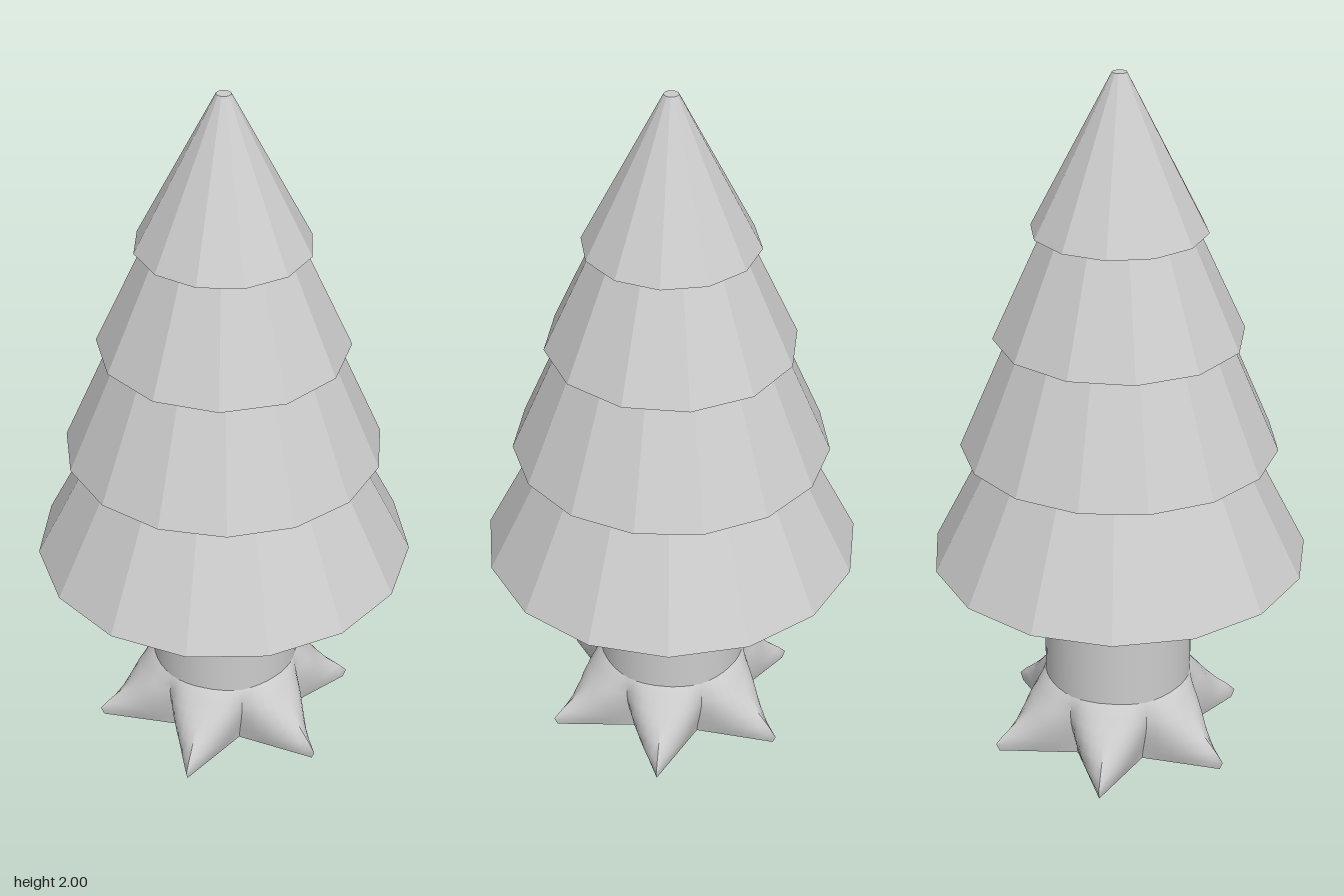
import * as THREE from 'three';
import { toCreasedNormals } from 'three/addons/utils/BufferGeometryUtils.js';

const grey = new THREE.MeshStandardMaterial({ color: 0xcccccc });
const faceted = new THREE.MeshStandardMaterial({ color: 0xcccccc, flatShading: true, side: THREE.DoubleSide });

// one tier of branches: a hollow faceted skirt with a ceiling inside and a closed tip
function makeTier({ name, sides, y0, y1, r0, r1, turn, lid }) {
  const tier = new THREE.Group();
  tier.name = name;
  const h = y1 - y0;
  const skirt = new THREE.Mesh(new THREE.CylinderGeometry(r1, r0, h, sides, 1, true, turn), faceted);
  skirt.name = name + 'Skirt';
  skirt.position.y = (y0 + y1) / 2;
  tier.add(skirt);

  const disc = (part, y, r, down) => {
    const g = new THREE.CircleGeometry(r, sides, turn - Math.PI / 2);
    g.rotateX(-Math.PI / 2);
    const m = new THREE.Mesh(g, faceted);
    m.name = name + part;
    m.position.y = y;
    tier.add(m);
  };
  disc('Top', y1, r1);
  disc('Underside', y0 + lid, r0 + (r1 - r0) * lid / h);
  return tier;
}

// flared base: a six-pointed star that blends upwards into the round trunk
function makeRoots() {
  const points = 6, half = 6, n = points * half * 2;
  // height, radius at ridge, radius at valley, bulge of each root's flank
  const rings = [
    [0, 0.375, 0.19, 0], [0.025, 0.385, 0.195, 0.008], [0.05, 0.362, 0.202, 0.018],
    [0.085, 0.322, 0.212, 0.026], [0.12, 0.288, 0.22, 0.026], [0.15, 0.262, 0.222, 0.022],
    [0.18, 0.238, 0.219, 0.014], [0.205, 0.221, 0.214, 0.008], [0.216, 0.208, 0.206, 0.006],
  ];
  const pos = [0, 0, 0], index = [];
  for (const [y, ridge, valley, bulge] of rings) {
    for (let i = 0; i < n; i++) {
      const step = i % (2 * half);
      const t = (step <= half ? step : 2 * half - step) / half;
      // straight flank from ridge to valley, swollen in the middle
      const x = ridge * (1 - t) + valley * t * Math.cos(Math.PI / points);
      const w = valley * t * Math.sin(Math.PI / points);
      const r = Math.hypot(x, w) + bulge * Math.sin(Math.PI * t);
      const a = Math.floor(i / (2 * half)) * Math.PI * 2 / points
        + (step <= half ? Math.atan2(w, x) : Math.PI * 2 / points - Math.atan2(w, x));
      pos.push(r * Math.cos(a), y, r * Math.sin(a));
    }
  }
  pos.push(0, 0.216, 0);
  const last = rings.length - 1, top = 1 + rings.length * n;
  for (let i = 0; i < n; i++) {
    const j = (i + 1) % n;
    index.push(0, 1 + i, 1 + j);
    for (let k = 0; k < last; k++) {
      const a = 1 + k * n + i, b = 1 + k * n + j;
      index.push(a, a + n, b, b, a + n, b + n);
    }
    index.push(top, 1 + last * n + j, 1 + last * n + i);
  }
  const g = new THREE.BufferGeometry();
  g.setAttribute('position', new THREE.Float32BufferAttribute(pos, 3));
  g.setIndex(index);
  const roots = new THREE.Mesh(toCreasedNormals(g, 0.7), grey);
  roots.name = 'roots';
  return roots;
}

export function createModel() {
  const tree = new THREE.Group();
  tree.name = 'tree';

  // trunk
  const trunk = new THREE.Mesh(new THREE.CylinderGeometry(0.213, 0.213, 0.6, 48), grey);
  trunk.name = 'trunk';
  trunk.position.y = 0.5;
  tree.add(trunk, makeRoots());

  // four stacked tiers, from the widest to the tip
  const tiers = [
    { name: 'bottomTier', sides: 15, y0: 0.61, y1: 1.1, r0: 0.533, r1: 0.285, turn: Math.PI, lid: 0.16 },
    { name: 'lowerTier', sides: 15, y0: 0.95, y1: 1.42, r0: 0.443, r1: 0.24, turn: 0, lid: 0.12 },
    { name: 'upperTier', sides: 12, y0: 1.275, y1: 1.68, r0: 0.346, r1: 0.16, turn: Math.PI / 12, lid: 0.1 },
    { name: 'topTier', sides: 12, y0: 1.575, y1: 2, r0: 0.24, r1: 0.02, turn: 0, lid: 0.08 },
  ];
  for (const t of tiers) {
    const tier = makeTier(t);
    tier.position.z = 0.004;
    tree.add(tier);
  }
  return tree;
}
